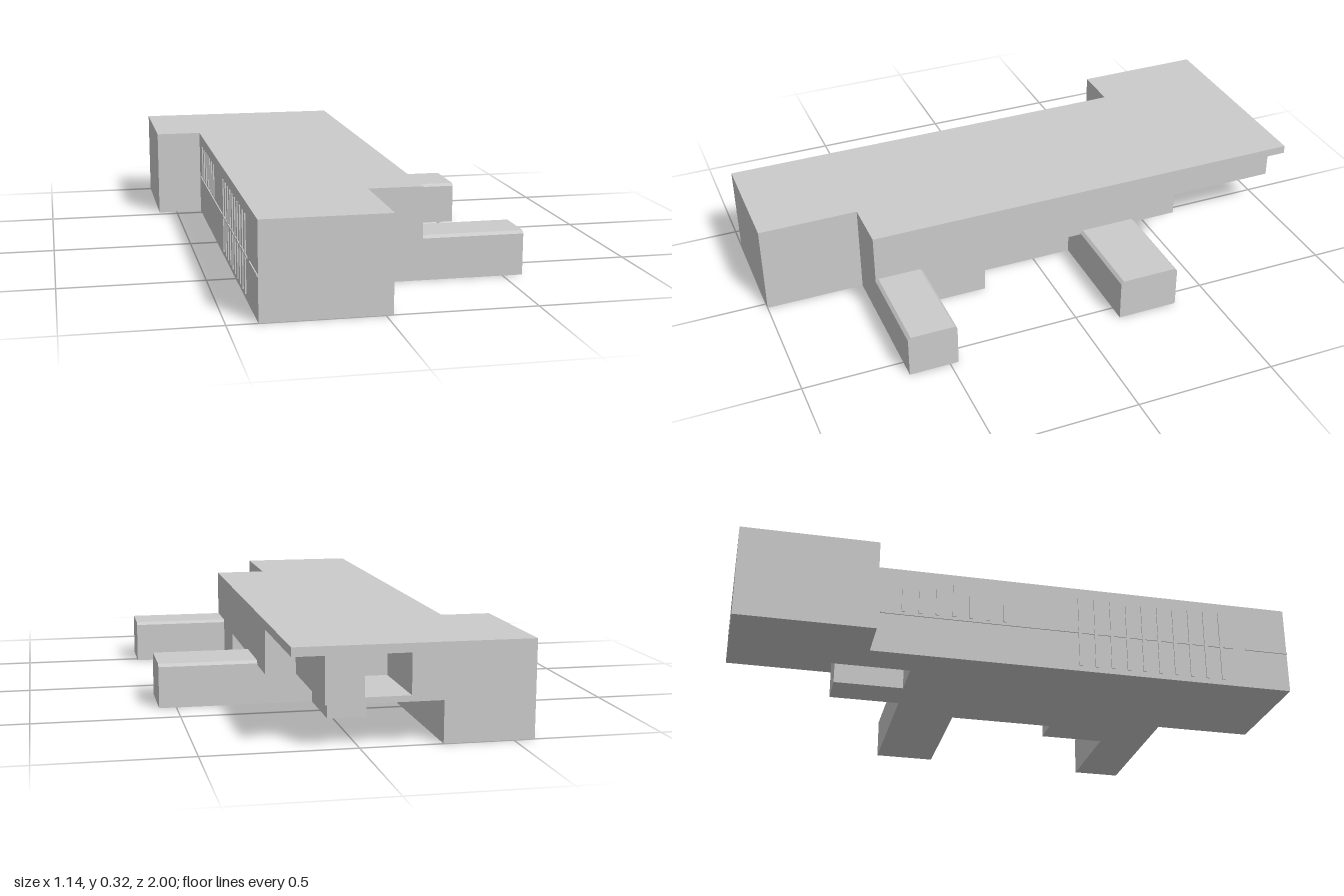
import * as THREE from 'three';

const material = new THREE.MeshStandardMaterial({ color: 0xcccccc, flatShading: true });

function addMesh(group, name, geometry) {
  const mesh = new THREE.Mesh(geometry, material);
  mesh.name = name;
  group.add(mesh);
  return mesh;
}

// Storey: a floor plan of [x, z] corners raised from y0 to y1
function storey(group, name, plan, y0, y1) {
  const shape = new THREE.Shape(plan.map(([x, z]) => new THREE.Vector2(x, -z)));
  const geometry = new THREE.ExtrudeGeometry(shape, { depth: y1 - y0, bevelEnabled: false });
  geometry.rotateX(-Math.PI / 2).translate(0, y0, 0);
  addMesh(group, name, geometry);
}

// Side wing: a section with chamfered top edges, run along x
function wing(group, name, x0, x1, z0, z1) {
  const h = 0.155, c = 0.01;
  const section = new THREE.Shape([
    [-z1, 0], [-z0, 0], [-z0, h - c], [-z0 - c, h], [-z1 + c, h], [-z1, h - c],
  ].map(([a, b]) => new THREE.Vector2(a, b)));
  const geometry = new THREE.ExtrudeGeometry(section, { depth: x1 - x0, bevelEnabled: false });
  geometry.rotateY(Math.PI / 2).translate(x0, 0, 0);
  addMesh(group, name, geometry);
}

export function createModel() {
  const model = new THREE.Group();
  model.name = 'building';

  const front = [[-0.4, 1], [0.025, 1], [0.025, 0.645], [0.215, 0.645]];
  const backLeft = [[-0.57, -1], [-0.57, -0.53], [-0.4, -0.53]];

  // Ground floor with recesses under the upper floor
  storey(model, 'groundFloor', [
    ...front, [0.215, 0.235], [0.11, 0.235], [0.11, -0.365], [0.02, -0.365], [0.02, -0.62],
    [-0.115, -0.62], [-0.115, -0.37], [-0.27, -0.37], [-0.27, -1], ...backLeft,
  ], 0, 0.14);

  // Upper floor: a sill band, then walls with an open balcony at the back
  const upper = [...front, [0.215, -0.53], [0.11, -0.53], [0.11, -1]];
  const balcony = [[-0.015, -1], [-0.015, -0.7], [-0.165, -0.7], [-0.165, -1]];
  storey(model, 'upperFloorSlab', [...upper, ...backLeft], 0.14, 0.16);
  storey(model, 'upperFloorWalls', [...upper, ...balcony, ...backLeft], 0.16, 0.295);

  // Roof overhanging the back right corner
  storey(model, 'roof', [...front, [0.215, -1], ...backLeft], 0.295, 0.325);

  // Two low wings
  wing(model, 'frontWing', 0.2, 0.57, 0.47, 0.645);
  wing(model, 'rearWing', 0.1, 0.56, -0.365, -0.145);

  // Thin ribs and a string course on the long wall
  const trim = new THREE.Group();
  trim.name = 'longWallTrim';
  model.add(trim);
  const strip = (name, y0, y1, z0, z1) => {
    const geometry = new THREE.BoxGeometry(0.008, y1 - y0, z1 - z0);
    addMesh(trim, name, geometry).position.set(-0.4, (y0 + y1) / 2, (z0 + z1) / 2);
  };
  for (let i = 0; i < 7; i++) {
    const z = -0.42 + i * 0.06;
    strip('shortRib', 0.16, 0.285, z - 0.006, z + 0.006);
  }
  for (let i = 0; i < 10; i++) {
    const z = 0.215 + i * 0.059;
    strip('tallRib', 0.02, 0.285, z - 0.006, z + 0.006);
  }
  strip('stringCourse', 0.147, 0.153, -0.5, 0.79);
  strip('stringCourseEnd', 0.147, 0.153, 0.84, 1);

  return model;
}
